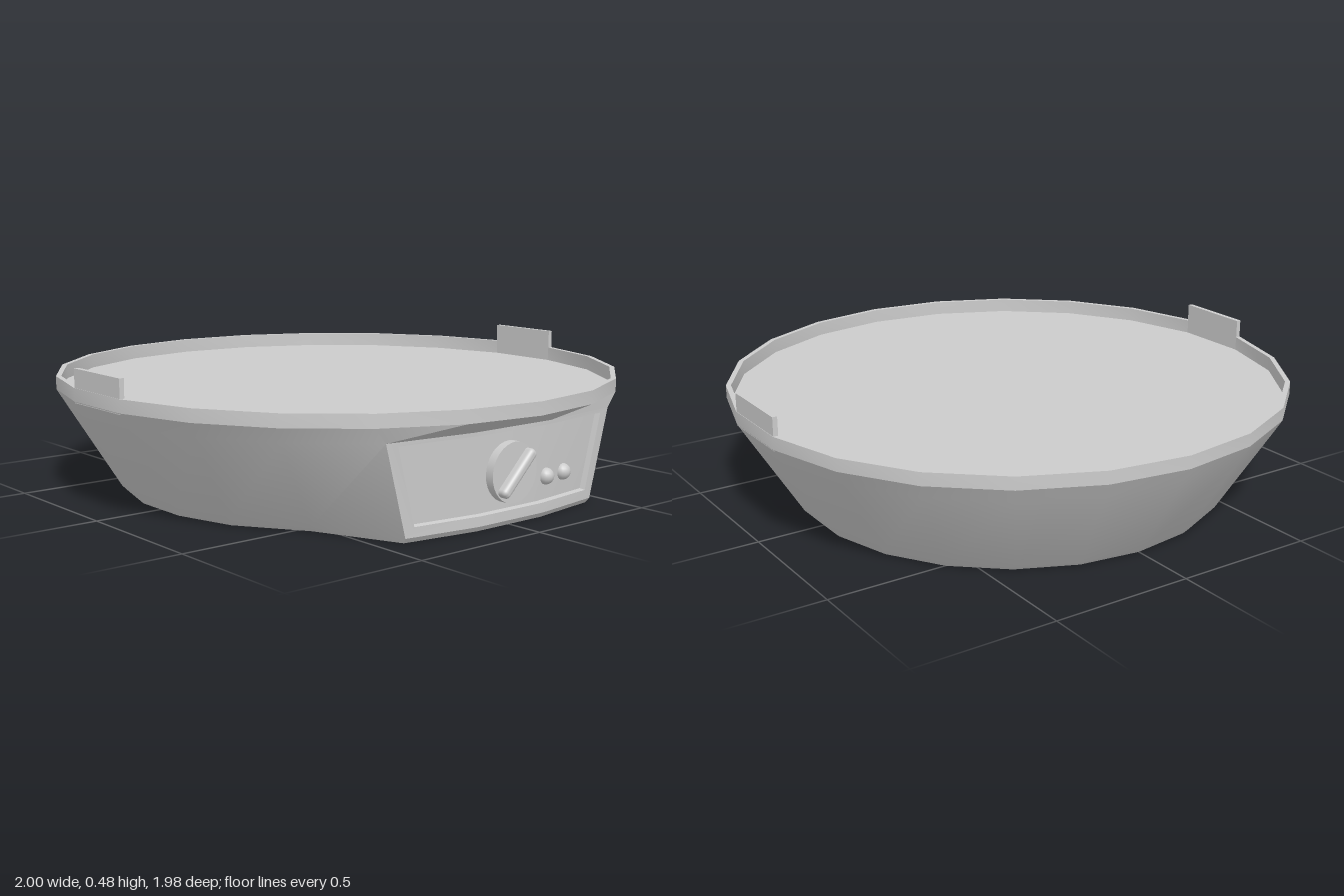
import * as THREE from 'three';
import { toCreasedNormals } from 'three/addons/utils/BufferGeometryUtils.js';
import { RoundedBoxGeometry } from 'three/addons/geometries/RoundedBoxGeometry.js';

const SIDES = 22;
const STEP = (Math.PI * 2) / SIDES;
const RIM_R = 0.998;
const PANEL_LOW = 0.017, PANEL_HIGH = 0.32;
const RECESS = 0.02;
const COLUMNS = [1, 0.35, 0, -0.35, -1]; // panel columns, left to right

const material = new THREE.MeshStandardMaterial({ color: 0xcccccc });

function add(parent, name, geometry, x = 0, y = 0, z = 0) {
  const mesh = new THREE.Mesh(geometry, material);
  mesh.name = name;
  mesh.position.set(x, y, z);
  parent.add(mesh);
  return mesh;
}

// Collects triangles and quads, corners counter-clockwise from outside
function surface() {
  const pos = [];
  const tri = (...pts) => pts.forEach((p) => pos.push(p.x, p.y, p.z));
  const quad = (a, b, c, d) => { tri(a, b, c); tri(a, c, d); };
  const build = (crease) => {
    const g = new THREE.BufferGeometry();
    g.setAttribute('position', new THREE.Float32BufferAttribute(pos, 3));
    return toCreasedNormals(g, crease);
  };
  return { tri, quad, build };
}

// Half width of the tapered control panel at a height
const panelHalf = (y) => 0.42 + (0.08 * (y - PANEL_LOW)) / (PANEL_HIGH - PANEL_LOW);

// Distance of the bowed panel face from the centre
function panelX(z, y) {
  const t = Math.abs(z) / panelHalf(y);
  return 0.88 - (0.04 * Math.max(0, t - 0.35)) / 0.65;
}

function panelPoint(u, y, inset = 0, depth = 0) {
  const z = u * (panelHalf(y) - inset);
  return new THREE.Vector3(panelX(z, y) - depth, y, z);
}

// One body cross-section; the five points around +x follow the panel
function bodyRing({ y, r, shoulder, panel, pull = 0 }) {
  return Array.from({ length: SIDES }, (_, i) => {
    const k = i > SIDES / 2 ? i - SIDES : i;
    if (panel && Math.abs(k) <= 2) {
      const p = panelPoint(COLUMNS[2 - k], Math.max(y, PANEL_LOW));
      return p.set(p.x - pull, y, p.z * (1 - pull));
    }
    const a = Math.abs(k) === 3 ? Math.sign(k) * shoulder : k * STEP;
    return new THREE.Vector3(r * Math.cos(a), y, r * Math.sin(a));
  });
}

function bodyGeometry() {
  const s = surface();
  const rings = [
    { y: 0, r: 0.765, shoulder: 0.79, panel: true, pull: 0.012 },
    { y: PANEL_LOW, r: 0.782, shoulder: 0.79, panel: true },
    { y: PANEL_HIGH, r: 0.968, shoulder: 3 * STEP, panel: true },
    { y: 0.37, r: RIM_R, shoulder: 3 * STEP, panel: false },
  ].map(bodyRing);
  const centre = new THREE.Vector3(0, 0, 0);
  for (let i = 0; i < SIDES; i++) {
    const j = (i + 1) % SIDES;
    s.tri(centre, rings[0][i], rings[0][j]);
    for (let n = 0; n < 3; n++) {
      const isPanel = n === 1 && (i < 2 || i >= SIDES - 2);
      if (!isPanel) s.quad(rings[n][j], rings[n][i], rings[n + 1][i], rings[n + 1][j]);
    }
  }
  return s.build(0.6);
}

// Raised frame, recess walls and recessed face
function panelGeometry() {
  const s = surface();
  const loop = (low, high, inset, depth) => [
    ...COLUMNS.map((u) => panelPoint(u, low, inset, depth)),
    ...COLUMNS.map((u) => panelPoint(-u, high, inset, depth)),
  ];
  const loops = [
    loop(PANEL_LOW, PANEL_HIGH, 0, 0),
    loop(0.05, 0.307, 0.04, 0),
    loop(0.053, 0.304, 0.044, RECESS),
  ];
  for (let n = 0; n < 2; n++) {
    for (let i = 0; i < 10; i++) {
      const j = (i + 1) % 10;
      s.quad(loops[n][i], loops[n][j], loops[n + 1][j], loops[n + 1][i]);
    }
  }
  const f = loops[2];
  for (let i = 0; i < 4; i++) s.quad(f[i], f[i + 1], f[8 - i], f[9 - i]);
  return s.build(0.4);
}

export function createModel() {
  const model = new THREE.Group();
  model.name = 'roundHotplate';

  add(model, 'body', bodyGeometry());

  // Rim wall and sunken top plate
  const profile = [[RIM_R, 0.37], [RIM_R, 0.415], [0.98, 0.415], [0.98, 0.365], [0, 0.365]]
    .map(([r, y]) => new THREE.Vector2(r, y));
  const rim = new THREE.LatheGeometry(profile, SIDES, Math.PI / 2);
  add(model, 'rimAndTopPlate', toCreasedNormals(rim, 0.6));

  // Upright tabs at front and back
  for (const side of [1, -1]) {
    add(model, side > 0 ? 'frontTab' : 'backTab',
      new THREE.BoxGeometry(0.284, 0.115, 0.017), 0, 0.4225, side * 0.978);
  }

  // Control panel with knob and two buttons
  const controls = new THREE.Group();
  controls.name = 'controls';
  model.add(controls);
  add(controls, 'controlPanel', panelGeometry());

  const disc = new THREE.CylinderGeometry(0.1, 0.1, 0.04, 32).rotateZ(-Math.PI / 2);
  add(controls, 'knobDisc', disc, 0.87, 0.172, 0);
  const grip = add(controls, 'knobGrip',
    new RoundedBoxGeometry(0.06, 0.19, 0.036, 3, 0.015), 0.89, 0.172, 0);
  grip.rotation.x = -Math.PI / 4;

  for (const z of [-0.18, -0.275]) {
    add(controls, 'button', new THREE.SphereGeometry(0.028, 16, 12),
      panelX(z, 0.13) - RECESS, 0.13, z);
  }
  return model;
}
